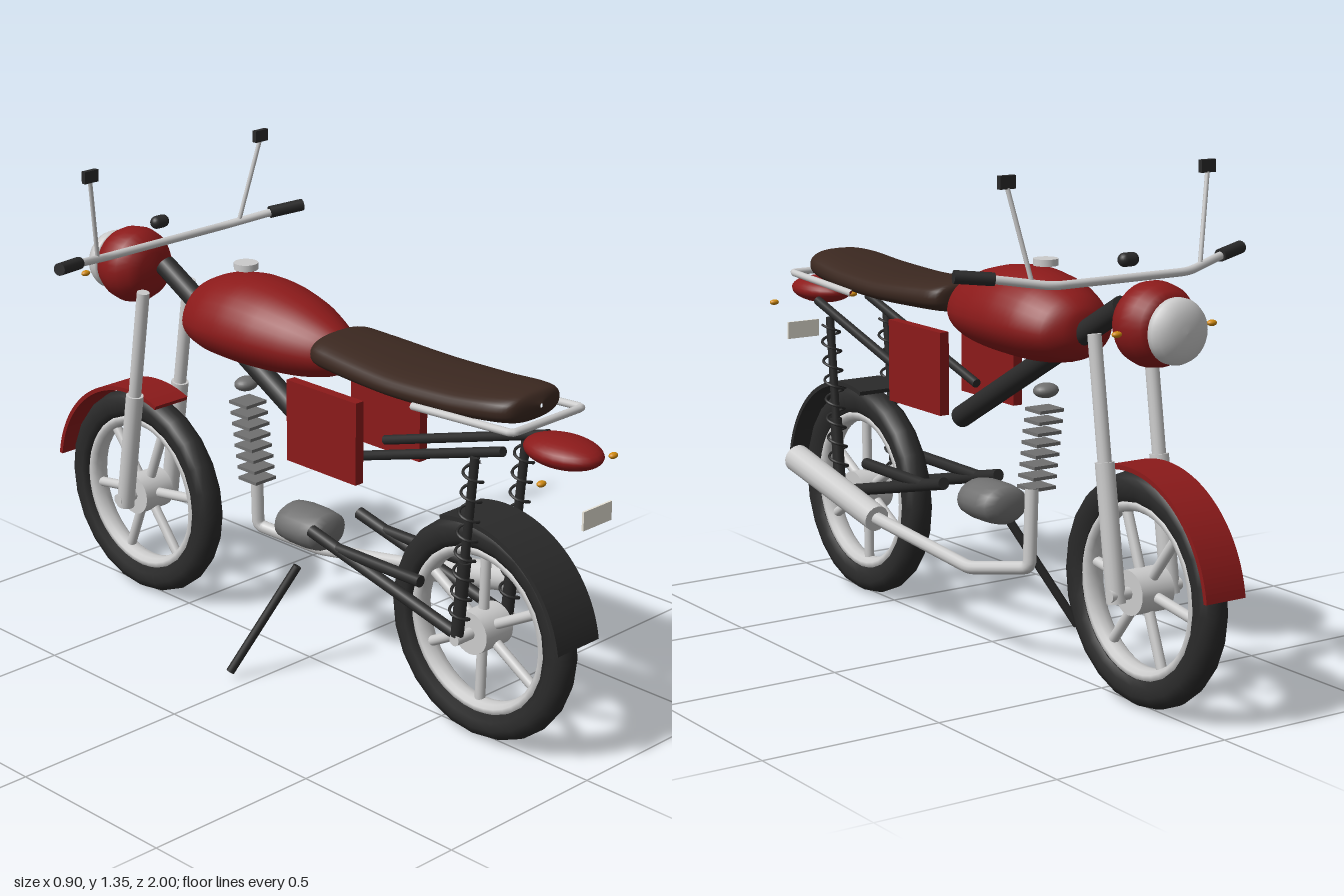
import * as THREE from 'three';

const mat = (color) => new THREE.MeshStandardMaterial({ color });
const V = (p) => new THREE.Vector3(...p);
const SIDES = [-1, 1];

export function createModel() {
  const bike = new THREE.Group();
  bike.name = 'motorcycle';
  const red = mat(0x8b1a1a), black = mat(0x2a2a2a), brown = mat(0x3b2820);
  const chrome = mat(0xcccccc), steel = mat(0x707070), amber = mat(0xd08a10), white = mat(0xe8e4d8);

  const add = (name, geometry, material, pos = [0, 0, 0], parent = bike) => {
    const m = new THREE.Mesh(geometry, material);
    m.name = name;
    m.position.set(...pos);
    parent.add(m);
    return m;
  };
  // straight round bar between two points
  const rod = (name, a, b, r, material, parent = bike, r2 = r) => {
    const d = V(b).sub(V(a));
    const m = add(name, new THREE.CylinderGeometry(r2, r, d.length(), 16), material, V(a).add(V(b)).multiplyScalar(0.5).toArray(), parent);
    m.quaternion.setFromUnitVectors(new THREE.Vector3(0, 1, 0), d.normalize());
    return m;
  };
  // bent pipe with tight corners
  const pipe = (name, pts, r, material, bend = 0.03) => {
    const path = new THREE.CurvePath();
    let from = V(pts[0]);
    for (let i = 1; i < pts.length - 1; i++) {
      const c = V(pts[i]);
      const p = c.clone().add(V(pts[i - 1]).sub(c).setLength(bend));
      const q = c.clone().add(V(pts[i + 1]).sub(c).setLength(bend));
      path.add(new THREE.LineCurve3(from, p));
      path.add(new THREE.QuadraticBezierCurve3(p, c, q));
      from = q;
    }
    path.add(new THREE.LineCurve3(from, V(pts[pts.length - 1])));
    return add(name, new THREE.TubeGeometry(path, 80, r, 12), material);
  };
  const lathe = (pts, seg = 32) => new THREE.LatheGeometry(pts.map((p) => new THREE.Vector2(...p)), seg);
  const ellipsoid = (name, r, pos, material) =>
    add(name, new THREE.SphereGeometry(1, 24, 16).scale(...r), material, pos);

  // smooth body lofted along z; rows are [z, halfWidth, yBottom, yTop]
  const loft = (rows, belly, square, pinch) => {
    const width = new THREE.CatmullRomCurve3(rows.map(([z, w]) => new THREE.Vector3(z, w, 0)), false, 'catmullrom', 0.4);
    const height = new THREE.CatmullRomCurve3(rows.map(([z, , b, t]) => new THREE.Vector3(z, b, t)), false, 'catmullrom', 0.4);
    const N = 40, M = 32, pos = [], idx = [];
    const pow = (v) => Math.sign(v) * Math.abs(v) ** square;
    for (let i = 0; i <= N; i++) {
      const w = width.getPoint(i / N), h = height.getPoint(i / N);
      const mid = h.y + (h.z - h.y) * belly;
      for (let j = 0; j < M; j++) {
        const a = (j / M) * Math.PI * 2, s = pow(Math.sin(a));
        const x = w.y * pow(Math.cos(a)) * (1 - pinch * Math.max(0, s));
        pos.push(x, mid + s * (s > 0 ? h.z - mid : mid - h.y), w.x);
        if (i < N) {
          const p = i * M + j, q = i * M + ((j + 1) % M);
          idx.push(p, q, p + M, q, q + M, p + M);
        }
      }
    }
    const g = new THREE.BufferGeometry();
    g.setAttribute('position', new THREE.Float32BufferAttribute(pos, 3));
    g.setIndex(idx);
    g.computeVertexNormals();
    return g;
  };

  // wheels: tyre, rim, hub and six spokes
  const wheel = (name, z, turn) => {
    const w = new THREE.Group();
    w.name = name;
    w.position.set(0, 0.302, z);
    bike.add(w);
    const tyre = [[0.228, -0.028], [0.245, -0.039], [0.27, -0.041], [0.289, -0.033], [0.299, -0.016], [0.302, 0],
      [0.299, 0.016], [0.289, 0.033], [0.27, 0.041], [0.245, 0.039], [0.228, 0.028], [0.228, -0.028]];
    add('tyre', lathe(tyre, 24).rotateZ(Math.PI / 2), black, [0, 0, 0], w);
    add('rim', new THREE.TorusGeometry(0.218, 0.019, 10, 40).scale(1, 1, 1.6).rotateY(Math.PI / 2), chrome, [0, 0, 0], w);
    add('hub', new THREE.CylinderGeometry(0.058, 0.058, 0.1, 24).rotateZ(Math.PI / 2), chrome, [0, 0, 0], w);
    rod('axle', [-0.11, 0, 0], [0.11, 0, 0], 0.016, chrome, w);
    for (let i = 0; i < 6; i++) {
      const a = turn + (i * Math.PI) / 3;
      rod('spoke', [0, Math.sin(a) * 0.04, Math.cos(a) * 0.04], [0, Math.sin(a) * 0.21, Math.cos(a) * 0.21], 0.014, chrome, w);
    }
  };
  wheel('rearWheel', 0.638, 0.5);
  wheel('frontWheel', -0.676, 0.15);

  // curved mudguards
  const fender = (name, z, r, width, from, to, material) => {
    const s = new THREE.Shape(), k = Math.PI / 180;
    s.absarc(0, 0, r, from * k, to * k, false);
    s.absarc(0, 0, r - 0.012, to * k, from * k, true);
    const g = new THREE.ExtrudeGeometry(s, { depth: width, bevelEnabled: false, curveSegments: 24 });
    add(name, g.translate(0, 0, -width / 2).rotateY(Math.PI / 2), material, [0, 0.302, z]);
  };
  fender('rearFender', 0.638, 0.322, 0.155, 74, 171, black);
  fender('frontFender', -0.676, 0.324, 0.12, 8, 111, red);

  // tank and seat
  add('fuelTank', loft([[-0.424, 0.004, 0.915, 0.925], [-0.415, 0.06, 0.87, 0.975], [-0.38, 0.113, 0.838, 1.01],
    [-0.3, 0.147, 0.823, 1.045], [-0.2, 0.157, 0.82, 1.06], [-0.1, 0.15, 0.823, 1.053], [0, 0.125, 0.83, 1.03],
    [0.08, 0.09, 0.845, 0.998], [0.125, 0.055, 0.865, 0.97], [0.14, 0.004, 0.91, 0.92]], 0.45, 1, 0.08), red);
  add('tankCap', new THREE.CylinderGeometry(0.033, 0.033, 0.018, 24), chrome, [0, 1.077, -0.245]);
  add('seat', loft([[0.1, 0.004, 0.93, 0.94], [0.11, 0.105, 0.9, 0.98], [0.2, 0.125, 0.893, 0.978],
    [0.4, 0.137, 0.89, 0.968], [0.6, 0.132, 0.895, 0.975], [0.73, 0.118, 0.905, 0.988],
    [0.79, 0.09, 0.915, 0.988], [0.81, 0.004, 0.95, 0.96]], 0.5, 0.8, 0), brown);

  // frame
  rod('frameBackbone', [0, 0.6, 0.15], [0, 1.005, -0.575], 0.03, black);
  for (const s of SIDES) {
    rod('rearFrameTube', [s * 0.085, 0.845, 0.765], [s * 0.085, 0.675, 0.2], 0.013, black);
    rod('swingArm', [s * 0.09, 0.31, 0.63], [s * 0.09, 0.435, 0.1], 0.017, black);
    rod('swingArmBrace', [s * 0.09, 0.415, 0.5], [s * 0.09, 0.413, 0.2], 0.016, black);
    add('sidePanel', new THREE.BoxGeometry(0.028, 0.225, 0.255), red, [s * 0.119, 0.748, 0.178]);
  }

  // rear shock absorbers with coil springs
  class Coil extends THREE.Curve {
    constructor(a, b, r, turns) { super(); Object.assign(this, { a, b, r, turns }); }
    getPoint(t, out = new THREE.Vector3()) {
      const q = t * this.turns * Math.PI * 2;
      out.lerpVectors(this.a, this.b, t);
      out.x += Math.cos(q) * this.r;
      out.z += Math.sin(q) * this.r;
      return out;
    }
  }
  for (const s of SIDES) {
    const x = s * 0.095;
    rod('shockRod', [x, 0.31, 0.635], [x, 0.81, 0.682], 0.012, black);
    rod('shockBody', [x, 0.31, 0.635], [x, 0.52, 0.655], 0.017, black);
    add('shockSpring', new THREE.TubeGeometry(new Coil(V([x, 0.35, 0.639]), V([x, 0.79, 0.68]), 0.026, 8), 160, 0.004, 6), black);
  }

  // front fork
  for (const s of SIDES) {
    const x = s * 0.085;
    rod('forkUpper', [x, 0.61, -0.622], [x, 0.945, -0.572], 0.018, chrome);
    rod('forkLower', [x, 0.28, -0.672], [x, 0.63, -0.619], 0.025, chrome);
  }

  // handlebar, grips and mirrors
  const ends = (s) => [[s * 0.44, 1.107, -0.49], [s * 0.35, 1.097, -0.522], [s * 0.21, 1.075, -0.571]];
  pipe('handlebar', [...ends(-1), ...ends(1).reverse()], 0.011, chrome);
  for (const s of SIDES) {
    rod('grip', [s * 0.35, 1.098, -0.522], [s * 0.445, 1.108, -0.488], 0.017, black);
    rod('mirrorStem', [s * 0.26, 1.085, -0.553], [s * 0.308, 1.315, -0.517], 0.006, chrome);
    add('mirror', new THREE.BoxGeometry(0.046, 0.033, 0.014), black, [s * 0.309, 1.33, -0.515]);
  }
  add('gauge', new THREE.CapsuleGeometry(0.018, 0.022, 6, 16).rotateZ(Math.PI / 2), black, [0, 1.126, -0.595]);

  // headlight
  const shell = [[0, -0.078], [0.05, -0.076], [0.082, -0.06], [0.102, -0.03], [0.108, 0], [0.103, 0.035], [0.09, 0.062], [0.07, 0.076], [0, 0.078]];
  add('headlightShell', lathe(shell).rotateX(-Math.PI / 2), red, [0, 0.98, -0.7]);
  const lens = [[0, 0], [0.075, 0], [0.083, 0.006], [0.083, 0.022], [0.075, 0.04], [0.05, 0.052], [0.025, 0.057], [0, 0.058]];
  add('headlightLens', lathe(lens).rotateX(-Math.PI / 2), chrome, [0, 0.975, -0.777]);

  // engine: crankcase, cooling fins, cylinder top
  add('crankcase', lathe([[0, -0.085], [0.035, -0.085], [0.052, -0.065], [0.056, -0.03], [0.056, 0.03], [0.052, 0.065], [0.035, 0.085], [0, 0.085]], 20)
    .rotateX(-Math.PI / 2).scale(1.35, 1, 1), steel, [0, 0.395, 0]);
  for (let i = 0; i < 8; i++) {
    add('coolingFin', new THREE.BoxGeometry(0.075, 0.009, 0.07), steel, [0, 0.475 + i * 0.0305, -0.207 - i * 0.005]);
  }
  ellipsoid('cylinderTop', [0.036, 0.02, 0.029], [0, 0.74, -0.248], steel);

  // exhaust on one side
  pipe('exhaustPipe', [[0.07, 0.495, -0.285], [0.08, 0.285, -0.29], [0.14, 0.252, -0.1], [0.18, 0.31, 0.31]], 0.018, chrome, 0.02);
  rod('muffler', [0.18, 0.308, 0.3], [0.182, 0.4, 0.73], 0.037, chrome, bike, 0.04);

  // kickstand
  rod('kickstand', [-0.09, 0.315, 0.045], [-0.247, 0.02, -0.055], 0.012, black);

  // luggage rail, tail light, number plate
  pipe('rearRail', [[-0.13, 0.905, 0.5], [-0.13, 0.923, 0.833], [0.13, 0.923, 0.833], [0.13, 0.905, 0.5]], 0.01, chrome, 0.012);
  ellipsoid('tailLight', [0.078, 0.038, 0.113], [0, 0.857, 0.885], red);
  add('numberPlate', new THREE.BoxGeometry(0.105, 0.05, 0.006), white, [0, 0.72, 0.997]);

  // turn indicators
  for (const s of SIDES) {
    ellipsoid('rearIndicator', [0.014, 0.008, 0.01], [s * 0.134, 0.822, 0.932], amber);
    ellipsoid('frontIndicator', [0.014, 0.008, 0.01], [s * 0.146, 0.975, -0.745], amber);
  }
  return bike;
}
